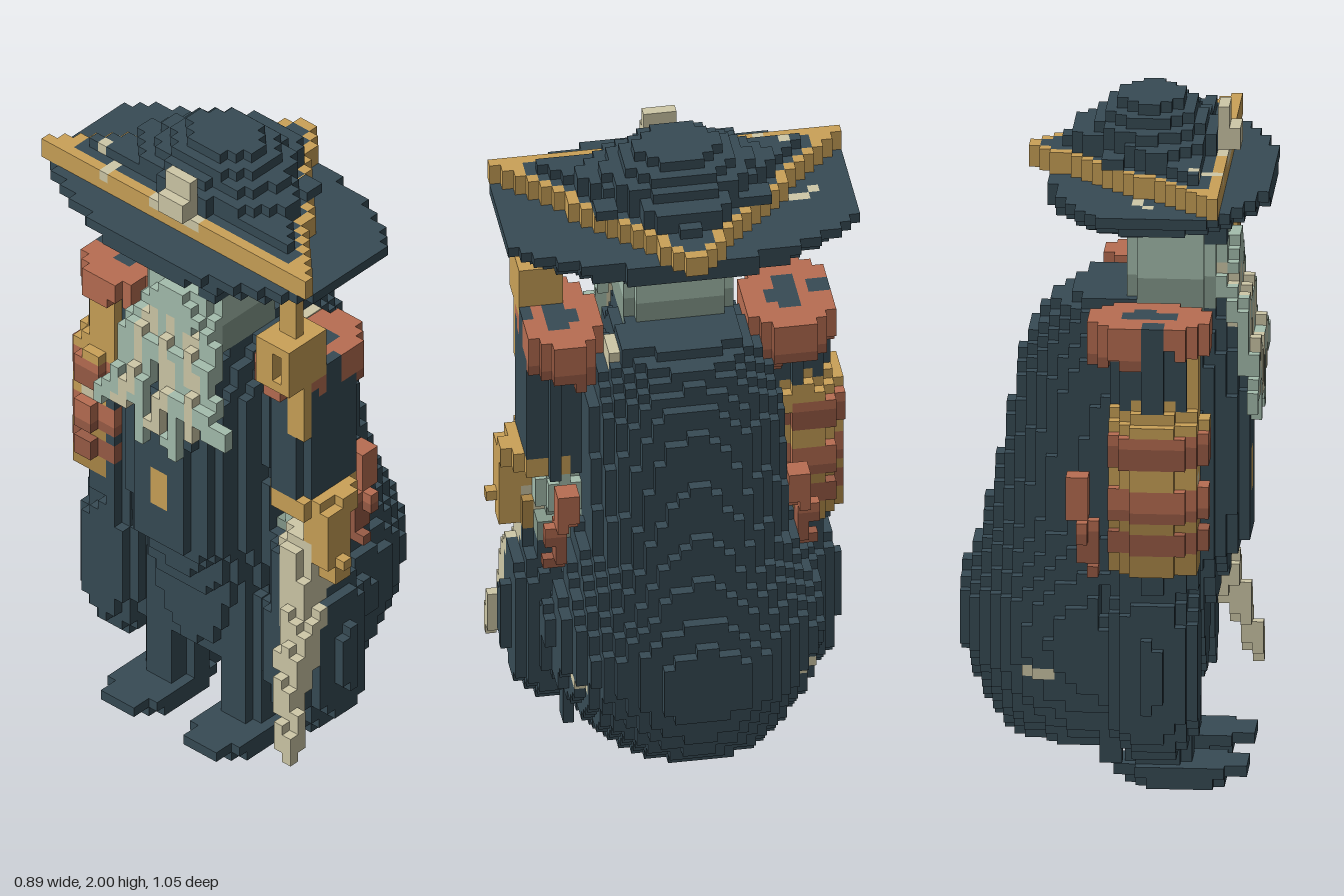
import * as THREE from 'three';

const NX = 28, NY = 63, NZ = 33, S = 2 / 63;   // voxel grid
const mat = (name, color) => Object.assign(new THREE.MeshStandardMaterial({ color }), { name });

// Solid tests, all in world units
const box = (x0, x1, y0, y1, z0, z1) => (x, y, z) => x > x0 && x < x1 && y > y0 && y < y1 && z > z0 && z < z1;
const ball = (cx, cy, cz, rx, ry, rz) => (x, y, z) => ((x - cx) / rx) ** 2 + ((y - cy) / ry) ** 2 + ((z - cz) / rz) ** 2 < 1;
const column = (cx, cz, rx, rz, y0, y1) => (x, y, z) => y > y0 && y < y1 && ((x - cx) / rx) ** 2 + ((z - cz) / rz) ** 2 < 1;
const any = (...tests) => (x, y, z) => tests.some(t => t(x, y, z));
const both = make => any(make(1), make(-1));

// Value interpolated along a list of [y, value]
function along(table, y) {
  for (let i = 1; i < table.length; i++) {
    const [a, va] = table[i - 1], [b, vb] = table[i];
    if (y <= b) return va + (vb - va) * Math.max(0, (y - a) / (b - a));
  }
  return table[table.length - 1][1];
}

// Tapered strand through points, radius r0 to r1
function strand(points, r0, r1) {
  const p = new THREE.Vector3();
  const samples = new THREE.CatmullRomCurve3(points.map(q => new THREE.Vector3(...q))).getPoints(30);
  return (x, y, z) => {
    p.set(x, y, z);
    return samples.some((q, i) => q.distanceTo(p) < r0 + (r1 - r0) * i / 30);
  };
}

// Folded hat brim: triangle inset by d, and its one-cell rim
const tri = (x, z, d) => x > -0.32 + d && Math.abs(z + 0.016) < (0.27 - x) * 0.87 - d * 1.3;
const triRim = (x, z) => tri(x, z, 0) && !(tri(x - S, z, 0) && tri(x + S, z, 0) && tri(x, z - S, 0) && tri(x, z + S, 0));

export function createModel() {
  const dark = mat('dark cloth', 0x374b55), gold = mat('brass', 0xcba258), rust = mat('rust', 0xb86e52);
  const bone = mat('bone', 0xcfc9a8), green = mat('pale green skin', 0xa5beae);
  const deepGold = mat('deep brass', 0xac8848), deepRust = mat('deep rust', 0x9a5c46), deepGreen = mat('deep green skin', 0x859a8c);
  const grid = new Int16Array(NX * NY * NZ).fill(-1), parts = [];
  const at = (i, j, k) => (i < 0 || j < 0 || k < 0 || i >= NX || j >= NY || k >= NZ) ? -1 : grid[(j * NZ + k) * NX + i];

  // Fills cells passing the test; paint only recolours filled cells
  function part(name, material, test, paint = false) {
    const id = parts.push({ name, material }) - 1;
    for (let j = 0; j < NY; j++) for (let k = 0; k < NZ; k++) for (let i = 0; i < NX; i++) {
      const n = (j * NZ + k) * NX + i;
      if (paint && grid[n] < 0) continue;
      if (test((i - 13.5) * S, (j + 0.5) * S, (k - 16) * S)) grid[n] = id;
    }
  }

  // Legs and boots
  part('legs', dark, both(s => column(-0.13, -0.015 + s * 0.15, 0.1, 0.075, 0.05, 0.5)));
  part('boots', dark, both(s => any(
    column(-0.18, -0.015 + s * 0.16, 0.15, 0.1, 0, 0.032),
    column(-0.19, -0.015 + s * 0.16, 0.2, 0.105, 0.032, 0.064))));

  // Torso and coat
  const front = [[0.25, -0.23], [0.5, -0.27], [0.66, -0.33], [0.7, -0.38], [1.1, -0.38], [1.25, -0.36], [1.42, -0.35]];
  const shoulder = [[0.3, 0.25], [1.22, 0.27], [1.42, 0.17]];
  part('torso', dark, (x, y, z) => y > 0.25 && y < 1.42 && x < 0.1 &&
    ((x - 0.1) / (0.1 - along(front, y))) ** 2 + (Math.abs(z + 0.01) / along(shoulder, y)) ** 3 < 1);
  const capeDepth = [[0.12, 0.29], [0.2, 0.35], [0.3, 0.4], [0.4, 0.435], [0.54, 0.435], [0.65, 0.39],
    [0.8, 0.345], [1.0, 0.3], [1.2, 0.265], [1.3, 0.23], [1.38, 0.17], [1.42, 0.11]];
  const capeWidth = [[0.12, 0.25], [0.2, 0.32], [0.3, 0.37], [0.45, 0.4], [0.55, 0.39], [0.65, 0.345],
    [0.78, 0.295], [1.0, 0.285], [1.2, 0.275], [1.3, 0.245], [1.38, 0.2], [1.42, 0.15]];
  part('cape', dark, (x, y, z) => y > 0.13 && y < 1.42 && x > (y < 0.65 ? (Math.abs(z) > 0.26 ? 0.03 : -0.08) : -0.2) &&
    ((x - 0.015) / along(capeDepth, y)) ** 2 + ((z + 0.01) / along(capeWidth, y)) ** 2 < 1);
  part('coatFlaps', dark, both(s => any(
    (x, y, z) => ((x + 0.12) / 0.145) ** 2 + (Math.abs(y - 0.4) / 0.28) ** 3 + ((z - s * 0.35) / 0.13) ** 2 < 1,
    box(-0.03, 0.03, 0.11, 0.4, s * 0.32 - 0.025, s * 0.32 + 0.025),
    column(-0.13, s * 0.33, 0.11, 0.09, 0.5, 0.75))));

  // Arms and shoulders
  part('arms', dark, both(s => column(-0.13, s * 0.35, 0.12, s > 0 ? 0.09 : 0.1, s > 0 ? 0.93 : 0.65, 1.4)));
  part('sleeveTrim', gold, box(-0.32, -0.2, 1.16, 1.32, -0.39, -0.29), true);
  const pads = (x, y, z) => {
    const bottom = (x < -0.1 ? 1.34 : Math.abs(z) < 0.3 ? 1.27 : 1.31) + 0.02 * Math.sin(x * 40 + z * 25);
    return y > bottom && any(column(-0.11, 0.325, 0.175, 0.115, 1.25, 1.42), column(-0.11, -0.335, 0.175, 0.135, 1.25, 1.42))(x, y, z);
  };
  part('shoulderPads', rust, pads);
  part('shoulderPadHems', deepRust, (x, y, z) => y < 1.33 && pads(x, y, z));
  part('shoulderTops', dark, both(s => any(
    column(-0.11, s * 0.33, 0.07, 0.05, 1.39, 1.42),
    box(-0.17, -0.1, 1.2, 1.42, s * 0.43 - 0.03, s * 0.43 + 0.03))), true);
  part('shoulderBarnacle', bone, box(-0.02, 0.07, 1.33, 1.39, 0.14, 0.21));

  // Barrel gauntlet
  const barrel = (y0, y1, grow = 0) => column(-0.135, -0.385, 0.13 + grow, 0.105 + grow, y0, y1);
  part('gauntlet', gold, any(barrel(0.72, 1.13), ball(-0.135, 1.11, -0.37, 0.15, 0.1, 0.1)));
  part('gauntletBase', deepGold, any(barrel(0.7, 0.76), barrel(0.825, 0.855)));
  part('gauntletBands', rust, any(barrel(1.065, 1.11, 0.012), barrel(0.885, 0.95, 0.01)));
  part('gauntletBandHems', deepRust, any(barrel(1.03, 1.065, 0.012), barrel(0.855, 0.89, 0.01), barrel(0.76, 0.825, 0.01)));
  part('gauntletBarnacle', bone, box(-0.27, -0.2, 0.95, 0.99, -0.43, -0.38), true);

  // Sword hand, guard and curved blade
  part('hand', green, ball(-0.1, 0.84, 0.32, 0.07, 0.12, 0.07));
  part('handShade', deepGreen, box(-0.16, -0.02, 0.7, 0.79, 0.2, 0.42), true);
  part('blade', bone, strand([[-0.17, 0.76, 0.37], [-0.2, 0.62, 0.38], [-0.26, 0.47, 0.41], [-0.32, 0.32, 0.44], [-0.37, 0.18, 0.48]], 0.075, 0.025));
  part('cuff', gold, column(-0.14, 0.37, 0.115, 0.11, 0.92, 0.97));
  part('swordGuard', gold, any(
    box(-0.22, -0.12, 0.83, 0.95, 0.4, 0.49), box(-0.22, -0.12, 0.76, 0.84, 0.44, 0.49),
    box(-0.2, -0.12, 0.69, 0.77, 0.41, 0.48), box(-0.19, -0.155, 0.75, 0.78, 0.4, 0.53)));
  part('guardShade', deepGold, box(-0.14, -0.1, 0.69, 0.86, 0.4, 0.5), true);

  // Side growths and barnacles
  const growth = s => strand([[0.095, 0.92, s * 0.33], [0.08, 0.82, s * 0.35], [0.05, 0.68, s * 0.36]], 0.042, 0.022);
  part('sideGrowths', rust, both(growth));
  part('sideGrowthShade', deepRust, both(s => (x, y, z) => growth(s)(x, y, z) && y < 0.78));
  part('capeBarnacles', bone, both(s => box(0.16, 0.24, 0.35, 0.385, s * 0.32 - 0.035, s * 0.32 + 0.035)), true);

  // Chest buckle
  part('buckle', gold, box(-0.39, -0.34, 0.82, 0.95, -0.06, 0.03), true);

  // Head and tentacle beard
  const skull = (x, z) => (Math.abs(x + 0.16) / 0.13) ** 4 + (Math.abs(z + 0.01) / 0.165) ** 4 < 1;
  part('head', green, (x, y, z) => y > 1.47 && y < 1.7 && skull(x, z));
  part('neck', deepGreen, (x, y, z) => y > 1.4 && y < 1.48 && skull(x, z));
  part('eyes', dark, both(s => box(-0.32, -0.22, 1.58, 1.66, s * 0.11 - 0.04, s * 0.11 + 0.04)));
  part('snout', green, ball(-0.28, 1.51, 0, 0.08, 0.1, 0.13));
  const beard = (z, y, sway) => strand([[-0.29, 1.5, z * 0.7], [-0.35, 1.38, z], [-0.38, 1.25, z * 1.2 + sway], [-0.395, y, z * 1.4 - sway]], 0.032, 0.022);
  part('beardTentacles', green, any(beard(-0.14, 1.14, 0.02), beard(-0.05, 1.05, -0.02), beard(0.05, 1.08, 0.02), beard(0.15, 1.18, -0.03),
    strand([[-0.36, 1.33, 0.15], [-0.39, 1.23, 0.2], [-0.39, 1.21, 0.27]], 0.025, 0.02)));
  part('beardSuckers', bone, any(beard(-0.095, 1.16, 0.01), beard(0.1, 1.16, 0.01), beard(0, 1.12, 0.02)));

  // Pipe lantern hung beneath the hat
  part('lantern', gold, (x, y, z) => box(-0.32, -0.16, 1.39, 1.556, 0.31, 0.44)(x, y, z) && !box(-0.4, -0.22, 1.43, 1.52, 0.35, 0.41)(x, y, z));
  part('lanternStem', gold, any(box(-0.255, -0.22, 1.55, 1.72, 0.33, 0.4), box(-0.255, -0.22, 1.2, 1.4, 0.36, 0.42)));

  // Hat: brim, folded triangle, crown
  const brim = any(
    column(-0.06, -0.016, 0.2, 0.37, 1.683, 1.714),
    column(-0.125, -0.016, 0.325, 0.48, 1.714, 1.746),
    column(-0.13, -0.016, 0.325, 0.565, 1.746, 1.778));
  part('hatBrim', dark, (x, y, z) => z < 0.49 && brim(x, y, z));
  part('hatFold', dark, (x, y, z) => y > 1.778 && (y < 1.841 ? tri(x, z, 0) : y < 1.873 && tri(x, z, 0.055)));
  part('hatTrim', gold, (x, y, z) => y > 1.778 && y < 1.841 && triRim(x, z), true);
  part('hatCorners', gold, both(s => box(-0.33, -0.23, 1.778, 1.841, s * 0.46 - 0.06, s * 0.46 + 0.03)), true);
  const crown = any(
    column(-0.08, -0.016, 0.2, 0.3, 1.841, 1.905),
    column(-0.09, -0.016, 0.16, 0.21, 1.905, 1.937), column(-0.095, -0.016, 0.14, 0.17, 1.937, 1.968),
    column(-0.095, -0.016, 0.09, 0.13, 1.968, 2));
  part('hatCrown', dark, (x, y, z) => crown(x, y, z) && tri(x, z, 0.04));
  part('hatCreases', dark, both(s => box(-0.04, 0.02, 1.841, 1.873, s * 0.22 - 0.05, s * 0.22 + 0.03)));
  part('hatOrnament', bone, any(
    box(-0.32, -0.285, 1.84, 1.97, -0.05, 0.05), box(-0.35, -0.315, 1.83, 1.9, -0.05, 0.05),
    box(-0.32, -0.25, 1.8, 1.87, -0.05, 0.05), box(-0.32, -0.285, 1.81, 1.85, -0.11, 0.08)));
  part('hatBarnacles', bone, any(box(-0.32, -0.26, 1.8, 1.85, -0.3, -0.27), box(-0.26, -0.22, 1.8, 1.87, -0.37, -0.33),
    box(-0.13, -0.1, 1.75, 1.79, -0.43, -0.4), box(-0.1, -0.07, 1.75, 1.79, -0.4, -0.33)));

  // Exposed voxel faces, one mesh per part
  const group = new THREE.Group();
  const data = parts.map(() => ({ pos: [], nor: [] }));
  for (let j = 0; j < NY; j++) for (let k = 0; k < NZ; k++) for (let i = 0; i < NX; i++) {
    const id = at(i, j, k);
    if (id < 0) continue;
    const c = [(i - 13.5) * S, (j + 0.5) * S, (k - 16) * S];
    for (let a = 0; a < 3; a++) for (const d of [1, -1]) {
      const n = [0, 0, 0];
      n[a] = d;
      if (at(i + n[0], j + n[1], k + n[2]) >= 0) continue;
      const u = (a + 1) % 3, v = (a + 2) % 3;
      const corner = (p, q) => {
        const r = c.slice();
        r[a] += d * S / 2; r[u] += p * S / 2; r[v] += q * d * S / 2;
        return r;
      };
      const quad = [corner(-1, -1), corner(1, -1), corner(1, 1), corner(-1, 1)];
      for (const m of [0, 1, 2, 0, 2, 3]) { data[id].pos.push(...quad[m]); data[id].nor.push(...n); }
    }
  }
  parts.forEach(({ name, material }, id) => {
    if (!data[id].pos.length) return;
    const g = new THREE.BufferGeometry();
    g.setAttribute('position', new THREE.Float32BufferAttribute(data[id].pos, 3));
    g.setAttribute('normal', new THREE.Float32BufferAttribute(data[id].nor, 3));
    const mesh = new THREE.Mesh(g, material);
    mesh.name = name;
    group.add(mesh);
  });
  return group;
}
